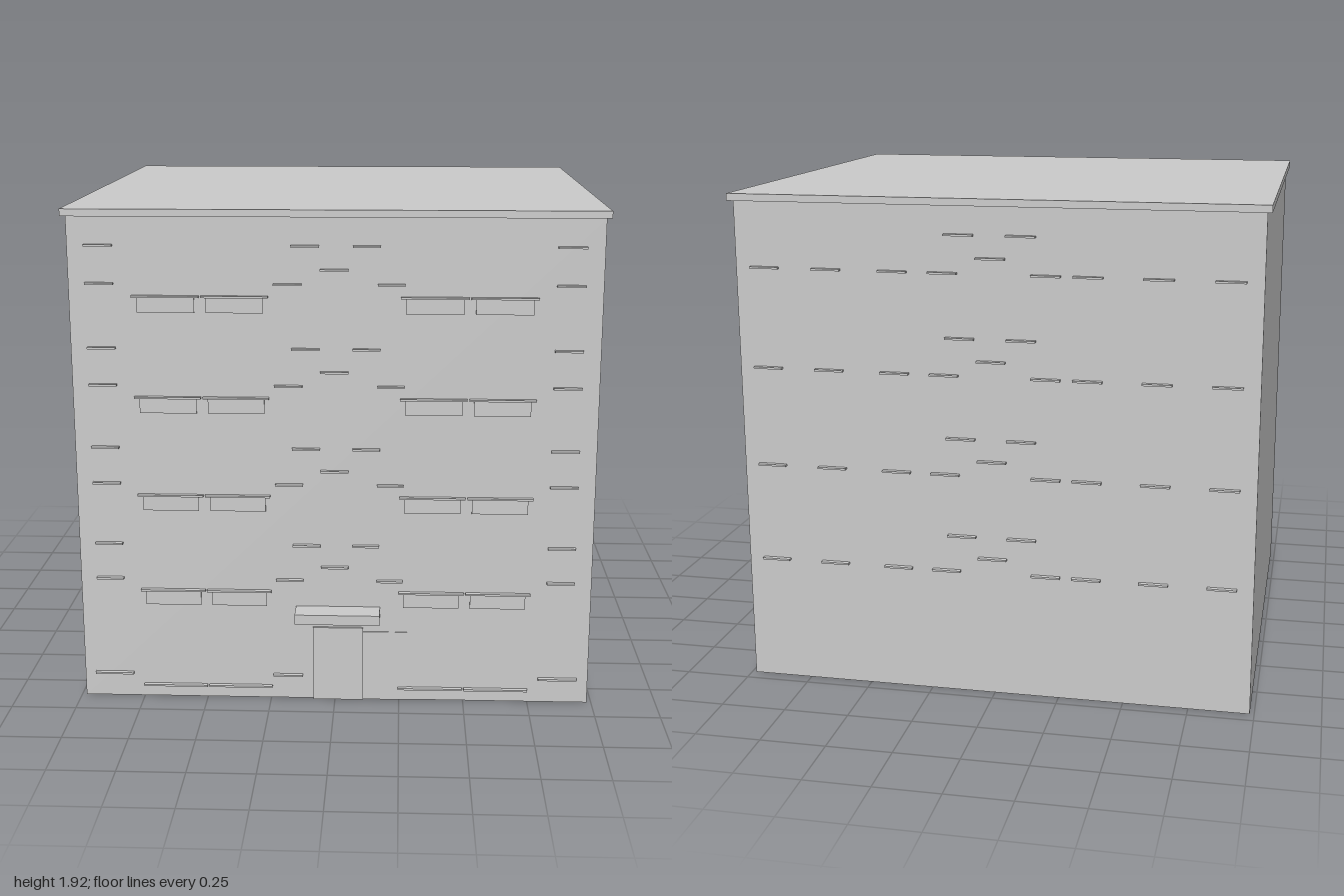
import * as THREE from 'three';

const FRONT = 0.875, BACK = -0.947, HALF_WIDTH = 0.983, WALL_HEIGHT = 1.89;
const STOREY = 0.383, STOREYS = 4;

export function createModel() {
  const model = new THREE.Group();
  const material = new THREE.MeshStandardMaterial({ color: 0xcccccc });
  const wallMaterial = new THREE.MeshStandardMaterial({ color: 0xcccccc, side: THREE.DoubleSide });

  // Box given by its low and high corner on each axis
  function block(name, [x0, x1], [y0, y1], [z0, z1], parent = model) {
    const mesh = new THREE.Mesh(new THREE.BoxGeometry(x1 - x0, y1 - y0, z1 - z0), material);
    mesh.position.set((x0 + x1) / 2, (y0 + y1) / 2, (z0 + z1) / 2);
    mesh.name = name;
    parent.add(mesh);
  }

  // Thin upright wall, turned to face outwards
  function wall(name, width, x, z, turn) {
    const mesh = new THREE.Mesh(new THREE.PlaneGeometry(width, WALL_HEIGHT), wallMaterial);
    mesh.position.set(x, WALL_HEIGHT / 2, z);
    mesh.rotation.y = turn;
    mesh.name = name;
    model.add(mesh);
  }

  // Hollow shell of four walls, open underneath
  const middle = (FRONT + BACK) / 2, depth = FRONT - BACK;
  wall('frontWall', HALF_WIDTH * 2, 0, FRONT, 0);
  wall('backWall', HALF_WIDTH * 2, 0, BACK, Math.PI);
  wall('leftWall', depth, HALF_WIDTH, middle, Math.PI / 2);
  wall('rightWall', depth, -HALF_WIDTH, middle, -Math.PI / 2);

  // Flat roof slab and entrance
  block('roofSlab', [-1, 1], [WALL_HEIGHT, 1.917], [-0.97, 0.895]);
  block('door', [-0.085, 0.11], [0, 0.3], [FRONT, 0.885]);
  block('entranceSidePanel', [0.11, 0.28], [0, 0.283], [FRONT, FRONT + 0.004]);
  block('entranceCanopy', [-0.15, 0.174], [0.346, 0.385], [FRONT, 0.97]);

  // Thin window sills, one row of spans at a height
  const frontZ = [FRONT, 0.893], backZ = [BACK - 0.019, BACK];
  function sills(name, spans, y, z, parent) {
    for (const span of spans) block(name, span, [y - 0.0035, y + 0.0035], z, parent);
  }
  const longSpans = [[-0.75, -0.5], [-0.493, -0.245], [0.245, 0.495], [0.502, 0.75]];
  const outerSpans = [[-0.92, -0.815], [0.812, 0.917]];
  const around = (x) => [x - 0.055, x + 0.055];

  for (let i = 0; i < STOREYS; i++) {
    const storey = new THREE.Group();
    storey.name = 'storeySills';
    storey.position.y = i * STOREY;
    model.add(storey);

    // Front sills, stepping around the stairwell
    sills('frontSill', [...outerSpans, [-0.16, -0.055], [0.068, 0.17]], 0.634, frontZ, storey);
    sills('frontSill', [[-0.053, 0.052]], 0.547, frontZ, storey);
    sills('frontSill', [...outerSpans, [-0.225, -0.12], [0.16, 0.26]], 0.493, frontZ, storey);
    sills('longSill', longSpans, 0.446, frontZ, storey);

    // Shallow panels under the long sills
    for (const [x0, x1] of longSpans) {
      block('sillPanel', [x0 + 0.018, x1 - 0.018], [0.385, 0.4425], [FRONT, FRONT + 0.005], storey);
    }

    // Back sills
    const centres = [0.87, 0.63, 0.375, 0.185, -0.2, -0.355, -0.61, -0.865];
    sills('backSill', centres.map(around), 0.493, backZ, storey);
    sills('backSill', [around(0.005)], 0.55, backZ, storey);
    sills('backSill', [around(0.123), around(-0.108)], 0.634, backZ, storey);
  }

  // Basement sills near the ground
  sills('basementSill', [[-0.94, -0.79], [-0.24, -0.125], [0.79, 0.94]], 0.098, frontZ);
  sills('basementSill', longSpans, 0.05, frontZ);

  return model;
}
